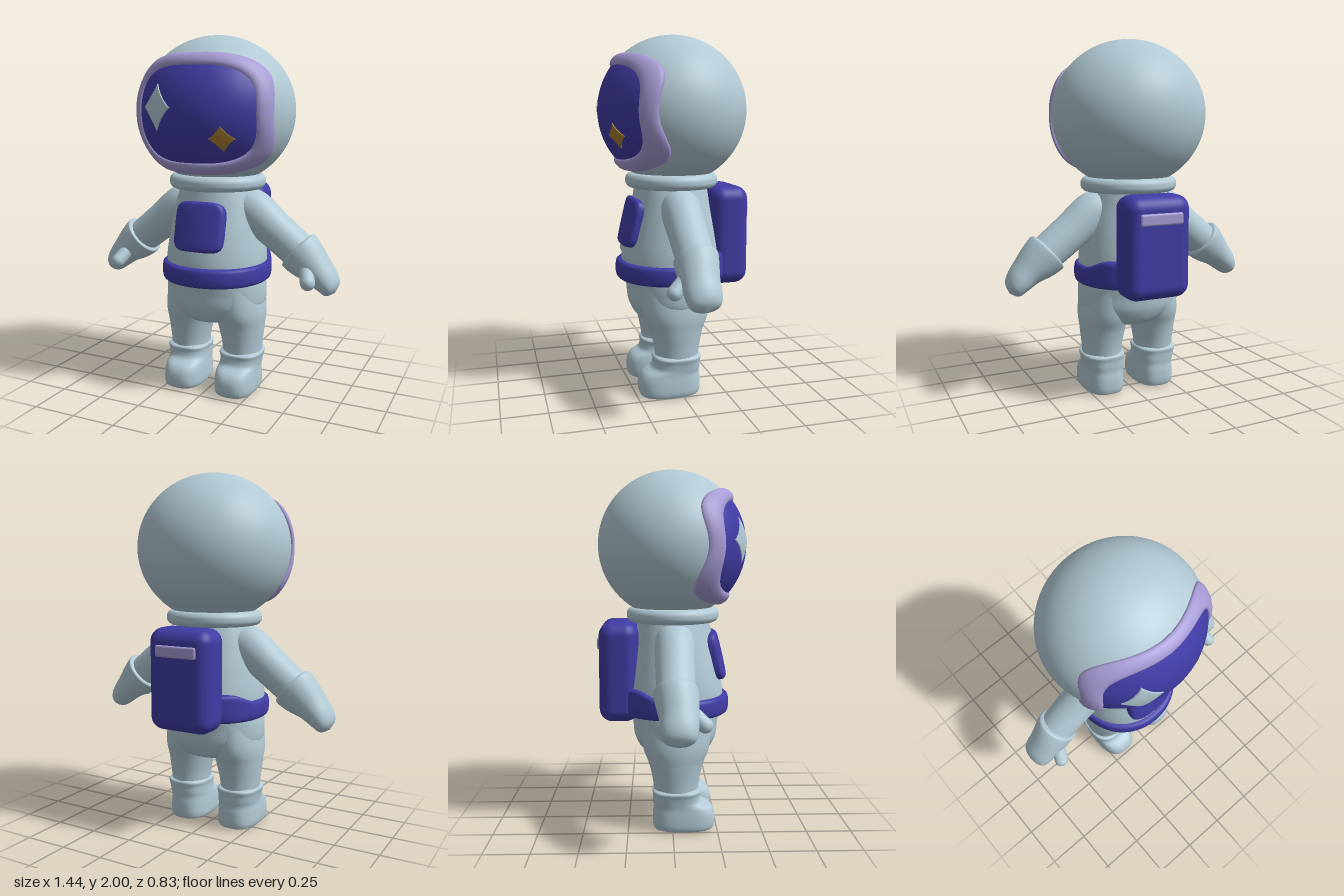
import * as THREE from 'three';
import { RoundedBoxGeometry } from 'three/addons/geometries/RoundedBoxGeometry.js';

const material = (name, color) => {
  const m = new THREE.MeshStandardMaterial({ color });
  m.name = name;
  return m;
};

const X = new THREE.Vector3(1, 0, 0);
const Y = new THREE.Vector3(0, 1, 0);
const Z = new THREE.Vector3(0, 0, 1);
const power = (c, n) => Math.sign(c) * Math.pow(Math.abs(c), 2 / n);

// Closed-ring grid: at(i, j) gives the point j of ring i
function ringGrid(rows, cols, at, flip, closeRows = false) {
  const pos = [], index = [];
  for (let i = 0; i < rows; i++)
    for (let j = 0; j < cols; j++) pos.push(...at(i, j).toArray());
  for (let i = 0; i < (closeRows ? rows : rows - 1); i++)
    for (let j = 0; j < cols; j++) {
      const k = (j + 1) % cols, n = (i + 1) % rows;
      const a = i * cols + j, b = i * cols + k, c = n * cols + j, d = n * cols + k;
      if (flip) index.push(a, c, b, b, c, d);
      else index.push(a, b, c, b, d, c);
    }
  const g = new THREE.BufferGeometry();
  g.setAttribute('position', new THREE.Float32BufferAttribute(pos, 3));
  g.setIndex(index);
  g.computeVertexNormals();
  return g;
}

// Smooth loft through sections [x, y, z, radius along u, radius along v]
function loft(sections, u = X, v = Z, n = 2, sub = 6, cols = 48) {
  const centres = new THREE.CatmullRomCurve3(sections.map(s => new THREE.Vector3(s[0], s[1], s[2])), false, 'catmullrom');
  const radii = new THREE.CatmullRomCurve3(sections.map(s => new THREE.Vector3(s[3], s[4], 0)), false, 'catmullrom');
  const rows = (sections.length - 1) * sub + 1;
  const along = centres.getPoint(1).sub(centres.getPoint(0));
  const flip = new THREE.Vector3().crossVectors(u, v).dot(along) < 0;
  return ringGrid(rows, cols, (i, j) => {
    const t = i / (rows - 1), a = j / cols * Math.PI * 2, r = radii.getPoint(t);
    return centres.getPoint(t)
      .addScaledVector(u, Math.max(0, r.x) * power(Math.cos(a), n))
      .addScaledVector(v, Math.max(0, r.y) * power(Math.sin(a), n));
  }, flip);
}

// Point on the front of the helmet, scaled out from its centre
const HELMET = { y: 1.59, rx: 0.435, ry: 0.41, rz: 0.412 };
function onHelmet(x, y, k) {
  const dx = x / HELMET.rx, dy = (y - HELMET.y) / HELMET.ry;
  const z = HELMET.rz * Math.sqrt(Math.max(0, 1 - dx * dx - dy * dy));
  return new THREE.Vector3(x * k, HELMET.y + (y - HELMET.y) * k, z * k);
}

// Thin plate lying on the helmet, with its rim turned in
function helmetPlate(cx, cy, outline, k, rings = 16, cols = 96) {
  return ringGrid(rings + 2, cols, (i, j) => {
    const p = outline(j / cols * Math.PI * 2), s = Math.min(1, i / rings);
    return onHelmet(cx + p[0] * s, cy + p[1] * s, i > rings ? 0.995 : k);
  }, true);
}

const visorOutline = (w, h) => a => [w * power(Math.cos(a), 3.1), h * power(Math.sin(a), 3.1)];
const starOutline = (w, h) => a => [w * power(Math.cos(a), 0.85), h * power(Math.sin(a), 0.85)];

export function createModel() {
  const root = new THREE.Group();
  const suit = material('suit pale blue', 0xb2cad5);
  const navy = material('deep blue', 0x413ca6);
  const lilac = material('lilac trim', 0xa89cd6);
  const gold = material('gold', 0xa87d30);
  const add = (name, geometry, mat) => {
    const m = new THREE.Mesh(geometry, mat);
    m.name = name;
    root.add(m);
    return m;
  };

  // Helmet
  const shell = new THREE.SphereGeometry(1, 64, 48);
  shell.scale(HELMET.rx, HELMET.ry, HELMET.rz);
  add('helmet', shell, suit).position.y = HELMET.y;

  // Visor, raised rim and sparkles
  const visorY = 1.58;
  add('visor', helmetPlate(0, visorY, visorOutline(0.36, 0.275), 1.008), navy);
  const rim = visorOutline(1, 1);
  add('visorRim', ringGrid(112, 14, (i, j) => {
    const p = rim(i / 112 * Math.PI * 2), a = j / 14 * Math.PI * 2, c = 0.03 * Math.cos(a);
    return onHelmet(p[0] * (0.363 + c), visorY + p[1] * (0.28 + c), 1.01 + 0.05 * Math.sin(a));
  }, true, true), lilac);
  add('paleSparkle', helmetPlate(-0.178, 1.615, starOutline(0.095, 0.12), 1.02), suit);
  add('goldSparkle', helmetPlate(0.182, 1.462, starOutline(0.062, 0.065), 1.02), gold);

  // Collar
  add('collar', loft([
    [0, 1.163, 0.005, 0.2, 0.19], [0, 1.166, 0.005, 0.25, 0.237], [0, 1.185, 0.005, 0.271, 0.257],
    [0, 1.205, 0.005, 0.275, 0.26], [0, 1.225, 0.005, 0.271, 0.257], [0, 1.244, 0.005, 0.25, 0.237],
    [0, 1.248, 0.005, 0.2, 0.19]], X, Z, 2, 3, 64), suit);

  // Torso and hips
  add('torso', loft([
    [0, 0.66, 0.01, 0.28, 0.28], [0, 0.78, 0.01, 0.285, 0.28], [0, 0.92, 0.01, 0.267, 0.255],
    [0, 1.06, 0.01, 0.24, 0.222], [0, 1.2, 0.01, 0.2, 0.2]], X, Z, 2.1), suit);
  add('hips', loft([
    [0, 0.7, 0.02, 0.28, 0.265], [0, 0.6, 0.02, 0.295, 0.245], [0, 0.5, 0.02, 0.28, 0.23],
    [0, 0.42, 0.02, 0.17, 0.17], [0, 0.39, 0.02, 0, 0]]), suit);

  // Belt, its top edge rising towards the backpack
  const belt = loft([
    [0, 0.645, 0.01, 0.25, 0.25], [0, 0.65, 0.01, 0.295, 0.3], [0, 0.675, 0.01, 0.308, 0.314],
    [0, 0.725, 0.01, 0.308, 0.314], [0, 0.752, 0.01, 0.297, 0.302], [0, 0.757, 0.01, 0.25, 0.25]], X, Z, 2.1, 3, 64);
  const bp = belt.attributes.position;
  for (let i = 0; i < bp.count; i++) {
    const rise = THREE.MathUtils.smoothstep(-bp.getZ(i), 0.05, 0.2) * 0.05;
    if (bp.getY(i) > 0.71) bp.setY(i, bp.getY(i) + rise);
  }
  belt.computeVertexNormals();
  add('belt', belt, navy);

  // Chest panel, curved round the torso
  const panel = loft([
    [0, 0, -0.05, 0.14, 0.132], [0, 0, 0.01, 0.146, 0.138], [0, 0, 0.028, 0.138, 0.13],
    [0, 0, 0.035, 0.11, 0.105], [0, 0, 0.038, 0, 0]], X, Y, 5, 4, 64);
  const pp = panel.attributes.position;
  for (let i = 0; i < pp.count; i++) pp.setZ(i, pp.getZ(i) - 1.1 * pp.getX(i) ** 2);
  panel.computeVertexNormals();
  const chest = add('chestPanel', panel, navy);
  chest.position.set(0, 0.975, 0.25);
  chest.rotation.x = -0.23;

  // Backpack and its handle
  add('backpack', new RoundedBoxGeometry(0.38, 0.56, 0.22, 6, 0.075), navy).position.set(0, 0.89, -0.298);
  add('backpackHandle', new RoundedBoxGeometry(0.25, 0.065, 0.035, 4, 0.012), lilac).position.set(0, 1.05, -0.4);

  for (const s of [1, -1]) {
    const side = s > 0 ? 'left' : 'right';
    const mirror = list => list.map(([x, ...rest]) => [x * s, ...rest]);
    const across = new THREE.Vector3(0.66 * s, 0.75, 0);

    // Arm and gloved hand
    add(side + 'Arm', loft(mirror([
      [0.1, 1.12, 0.01, 0.07, 0.08], [0.2, 1.065, 0.01, 0.115, 0.108], [0.35, 0.95, 0.01, 0.106, 0.105],
      [0.51, 0.825, 0.01, 0.1, 0.1]]), across), suit);
    add(side + 'Glove', loft(mirror([
      [0.478, 0.853, 0.01, 0.085, 0.085], [0.484, 0.848, 0.01, 0.118, 0.113], [0.5, 0.835, 0.01, 0.124, 0.116],
      [0.545, 0.795, 0.015, 0.113, 0.11], [0.605, 0.745, 0.02, 0.088, 0.1], [0.66, 0.69, 0.02, 0.07, 0.094],
      [0.69, 0.65, 0.02, 0.048, 0.072], [0.703, 0.632, 0.02, 0, 0]]), across), suit);
    const from = new THREE.Vector3(0.55 * s, 0.775, 0.07), to = new THREE.Vector3(0.588 * s, 0.705, 0.15);
    const thumb = add(side + 'Thumb', new THREE.CapsuleGeometry(0.04, from.distanceTo(to), 8, 20), suit);
    thumb.position.copy(from).lerp(to, 0.5);
    thumb.quaternion.setFromUnitVectors(Y, to.clone().sub(from).normalize());

    // Leg and boot
    add(side + 'Leg', loft(mirror([
      [0.15, 0.64, 0.02, 0.12, 0.2], [0.155, 0.48, 0.02, 0.14, 0.188], [0.16, 0.38, 0.02, 0.13, 0.152],
      [0.165, 0.28, 0.02, 0.115, 0.13], [0.165, 0.18, 0.02, 0.108, 0.12]])), suit);
    add(side + 'Boot', loft(mirror([
      [0.16, 0, 0.06, 0, 0], [0.16, 0.003, 0.06, 0.09, 0.14], [0.16, 0.025, 0.063, 0.114, 0.172],
      [0.16, 0.09, 0.063, 0.115, 0.174], [0.16, 0.135, 0.054, 0.112, 0.16], [0.162, 0.165, 0.028, 0.112, 0.136],
      [0.165, 0.2, 0.022, 0.115, 0.131], [0.166, 0.228, 0.022, 0.12, 0.135], [0.166, 0.24, 0.022, 0.1, 0.115]]), X, Z, 2.7, 5), suit);
  }
  return root;
}
